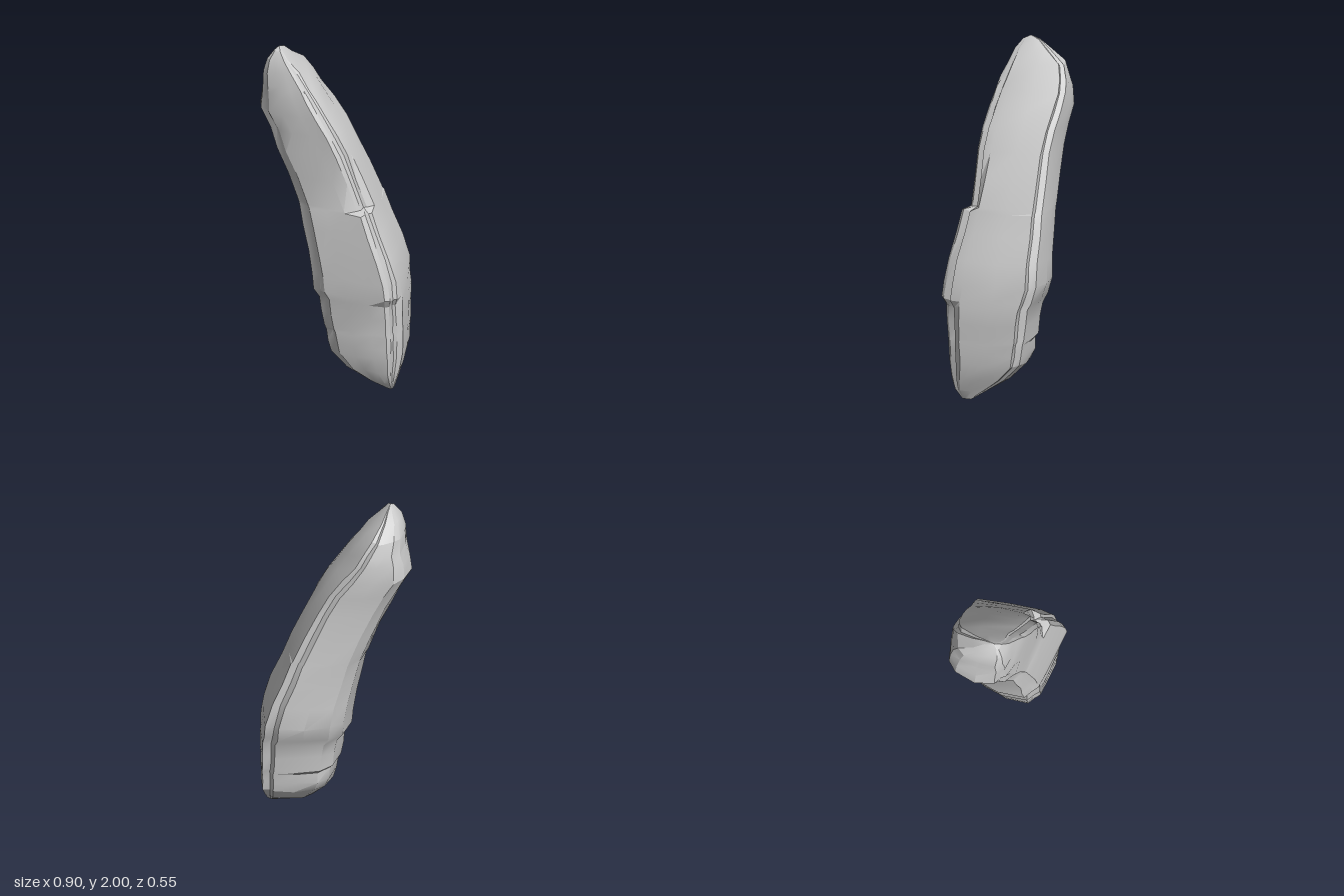
import * as THREE from 'three';
import { toCreasedNormals } from 'three/addons/utils/BufferGeometryUtils.js';

const { lerp, clamp, smoothstep } = THREE.MathUtils;

// Extents of each horizontal section: y, x min, x max, z min, z max
const RINGS = [
  [0.00, 0.36, 0.39, 0.09, 0.15],
  [0.05, 0.25, 0.41, 0.01, 0.20],
  [0.12, 0.11, 0.43, -0.10, 0.23],
  [0.21, 0.01, 0.445, -0.19, 0.25],
  [0.27, -0.01, 0.448, -0.20, 0.255],
  [0.34, -0.02, 0.45, -0.21, 0.26],
  [0.36, -0.035, 0.45, -0.215, 0.262],
  [0.45, -0.05, 0.45, -0.225, 0.27],
  [0.54, -0.06, 0.448, -0.235, 0.275],
  [0.58, -0.10, 0.445, -0.25, 0.28],
  [0.67, -0.11, 0.43, -0.275, 0.275],
  [0.80, -0.13, 0.39, -0.26, 0.27],
  [0.95, -0.165, 0.325, -0.245, 0.255],
  [1.07, -0.19, 0.275, -0.23, 0.245],
  [1.09, -0.20, 0.268, -0.228, 0.24],
  [1.25, -0.26, 0.20, -0.21, 0.24],
  [1.40, -0.33, 0.13, -0.19, 0.24],
  [1.52, -0.39, 0.065, -0.185, 0.24],
  [1.62, -0.45, 0.00, -0.18, 0.24],
  [1.72, -0.435, -0.07, -0.17, 0.235],
  [1.78, -0.41, -0.115, -0.155, 0.225],
  [1.86, -0.405, -0.175, -0.115, 0.21],
  [1.93, -0.375, -0.24, -0.01, 0.195],
  [1.98, -0.335, -0.285, 0.06, 0.165],
];

// Section outline as fractions of the extents, clockwise from above
const OUTLINE = [
  [0.69, 0.00], [0.75, 0.065], [0.84, 0.045], [0.93, 0.36], [1.00, 0.72],
  [0.995, 0.84], [0.955, 0.86], [0.95, 0.95], [0.91, 1.00], [0.70, 0.99],
  [0.45, 0.985], [0.22, 0.97], [0.16, 0.92], [0.06, 0.87], [0.00, 0.58],
  [0.04, 0.28], [0.16, 0.13], [0.42, 0.04],
];

function seeded(seed) {
  return () => {
    seed = (seed * 16807) % 2147483647;
    return seed / 2147483647 - 0.5;
  };
}

// How far a section corner is drawn towards the middle of its section
function inset(i, y, r) {
  // Front edge: chipped above the ledge and stepped back below the waist
  if (i >= 5 && i <= 8) {
    if (y < 0.56) return 0.09;
    return y > 1.08 ? 0.14 * (1 - smoothstep(y, 1.09, 1.5)) : 0;
  }
  // Worn front left edge around the overhang of the upper end
  if (i >= 11 && i <= 13) return y > 1.45 && y < 1.75 ? 0.09 : 0;
  // Wrinkles across the lower back
  if (i >= 15 && y > 0.2 && y < 0.56) return r % 2 ? 0.03 : 0;
  return 0;
}

function rockGeometry() {
  const rand = seeded(71);
  const rings = RINGS.map(([y, x0, x1, z0, z1], r) => OUTLINE.map(([u, v], i) => {
    const pull = inset(i, y, r);
    // The back rim leans away from the convex face near the tip
    const lean = i < 3 ? 0.16 * smoothstep(y, 1.55, 1.88) : 0;
    const a = lerp(u, 0.5, pull) - lean + rand() * 0.012;
    const b = lerp(v, 0.5, pull) + rand() * 0.012;
    const lift = y > 0.1 && y < 1.9 ? rand() * 0.016 : 0;
    return [lerp(x0, x1, clamp(a, 0, 1)), y + lift, lerp(z0, z1, clamp(b, 0, 1))];
  }));

  const positions = [];
  const triangle = (...corners) => corners.forEach((p) => positions.push(...p));
  const n = OUTLINE.length;
  const base = [0.375, 0, 0.12];
  const tip = [-0.31, 2, 0.125];
  const top = rings.length - 1;
  for (let i = 0; i < n; i++) {
    const j = (i + 1) % n;
    for (let r = 0; r < top; r++) {
      const low = rings[r], high = rings[r + 1];
      triangle(low[i], high[i], low[j]);
      triangle(low[j], high[i], high[j]);
    }
    triangle(base, rings[0][i], rings[0][j]);
    triangle(tip, rings[top][j], rings[top][i]);
  }
  const geometry = new THREE.BufferGeometry();
  geometry.setAttribute('position', new THREE.Float32BufferAttribute(positions, 3));
  return toCreasedNormals(geometry, 0.42);
}

export function createModel() {
  const group = new THREE.Group();
  group.name = 'curvedRock';
  const rock = new THREE.Mesh(rockGeometry(), new THREE.MeshStandardMaterial({ color: 0xcccccc }));
  rock.name = 'rockBody';
  group.add(rock);
  return group;
}
